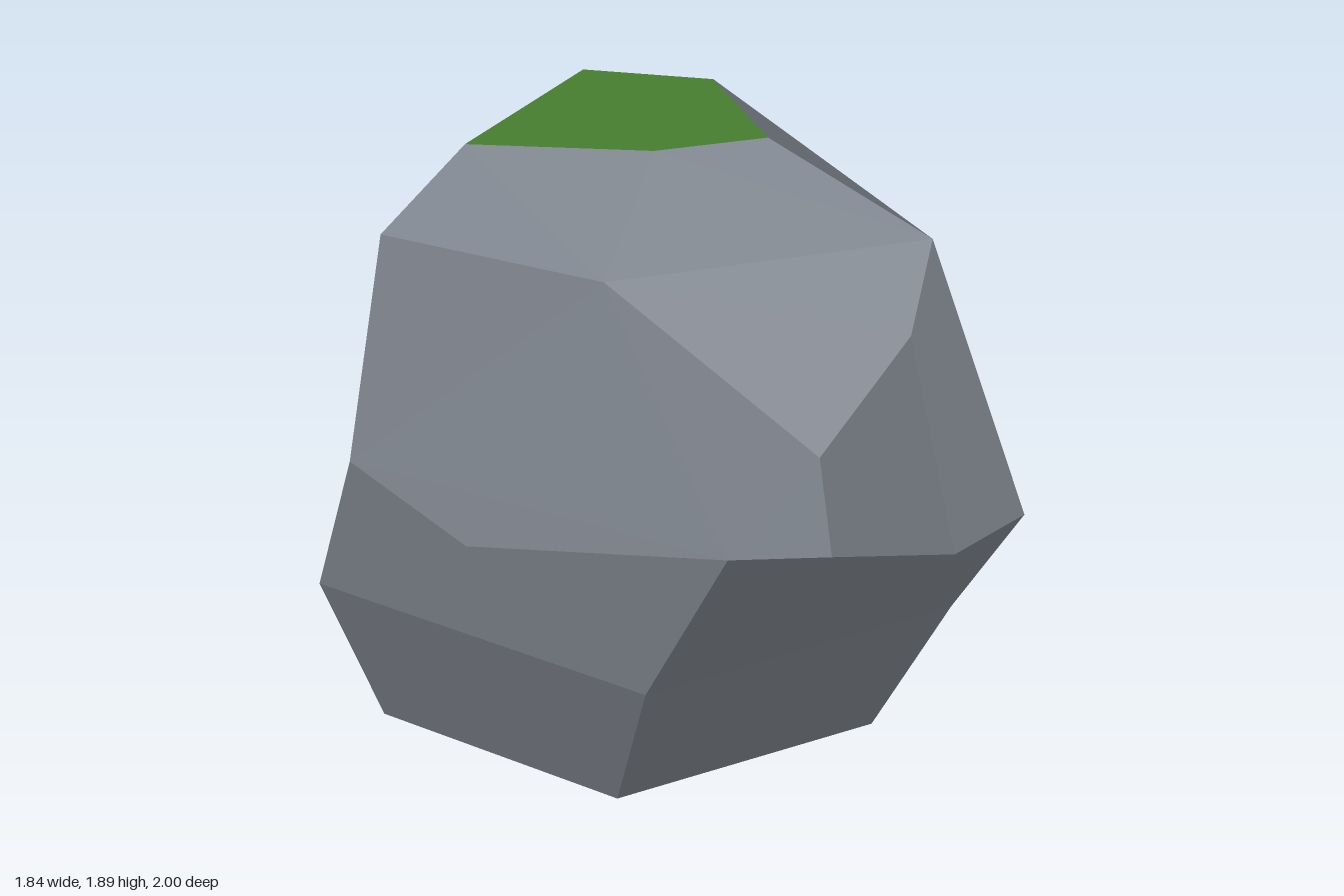
import * as THREE from 'three';

// Corners of the boulder, ring by ring from the ground up
const corners = {
  // ground outline
  b1: [-0.44, 0, 0.64], b2: [0.46, 0, 0.64], b3: [0.7, 0, -0.215], b4: [-0.01, 0, -0.74], b5: [-0.74, 0, -0.21],
  // lower belt
  w1: [-0.48, 0.385, 0.84], w2: [0.6, 0.4, 0.81], w3: [0.88, 0.48, -0.265], w4: [-0.02, 0.43, -0.945], w5: [-0.92, 0.445, -0.235],
  // widest belt
  m1: [-0.31, 0.75, 0.955], m2: [0.01, 0.705, 0.975], m3: [0.43, 0.64, 0.99], m4: [0.735, 0.69, 0.945],
  m5: [0.92, 0.97, -0.265], m6: [-0.04, 0.79, -1], m7: [-0.88, 0.85, -0.07], m8: [-0.785, 0.73, 0.45],
  // chipped front ridge
  r1: [-0.06, 0.99, 1], r2: [0.24, 1.27, 0.99],
  // shoulder
  s1: [-0.49, 1.43, 0.66], s2: [0.43, 1.49, 0.85], s3: [0.42, 1.635, -0.215], s4: [0.18, 1.715, -0.65], s5: [-0.74, 1.475, -0.12],
  // crown
  t1: [-0.22, 1.728, 0.475], t2: [0.19, 1.74, 0.43], t3: [0.32, 1.875, -0.02], t4: [0.08, 1.895, -0.38], t5: [-0.56, 1.73, 0.055],
};

const centre = new THREE.Vector3(0, 0.9, 0);

// Fans each facet from its first corner, faces it outward and shades it flat with one normal
function facets(name, material, faces) {
  const points = [];
  const normals = [];
  for (const face of faces) {
    const p = face.split(' ').map((k) => new THREE.Vector3(...corners[k]));
    const normal = new THREE.Vector3();
    const middle = new THREE.Vector3();
    p.forEach((corner, i) => {
      normal.add(corner.clone().cross(p[(i + 1) % p.length]));
      middle.addScaledVector(corner, 1 / p.length);
    });
    normal.normalize();
    if (normal.dot(middle.sub(centre)) < 0) {
      normal.negate();
      p.push(...p.splice(1).reverse());
    }
    for (let i = 1; i < p.length - 1; i++) {
      points.push(p[0], p[i], p[i + 1]);
      for (let k = 0; k < 3; k++) normals.push(normal.x, normal.y, normal.z);
    }
  }
  const geometry = new THREE.BufferGeometry().setFromPoints(points);
  geometry.setAttribute('normal', new THREE.Float32BufferAttribute(normals, 3));
  const mesh = new THREE.Mesh(geometry, material);
  mesh.name = name;
  return mesh;
}

export function createModel() {
  const stone = new THREE.MeshStandardMaterial({ color: 0x7f858e });
  stone.name = 'grey stone';
  const moss = new THREE.MeshStandardMaterial({ color: 0x447a2d });
  moss.name = 'moss green';

  const group = new THREE.Group();
  group.name = 'mossy boulder';
  group.add(
    facets('underside', stone, ['b1 b2 b3 b4 b5']),
    facets('lowerStone', stone, [
      'w1 w2 b2 b1', 'w2 w3 b3 b2', 'w3 w4 b4 b3', 'w4 w5 b5 b4', 'w5 w1 b1 b5',
    ]),
    facets('middleStone', stone, [
      'm3 m2 m1 w1 w2 m4', 'm4 m5 w3 w2', 'm5 m6 w4 w3', 'm7 m6 w4 w5', 'w5 m7 m8 m1 w1',
    ]),
    facets('chippedFront', stone, ['s1 r1 r2 s2', 'r1 s1 m1 m2', 'r1 m2 m3 r2', 'r2 m3 m4 s2']),
    facets('upperStone', stone, [
      't5 t1 s1 s5', 't1 t2 s2 s1', 't3 t2 s2 s3', 's2 s3 m5 m4', 's4 s3 m5 m6',
      's5 s4 m6 m7', 'm7 s5 s1 m1 m8',
    ]),
    facets('mossCap', moss, ['t1 t2 t3 t4 t5', 't5 t4 s4 s5', 't4 t3 s3 s4']),
  );
  return group;
}
